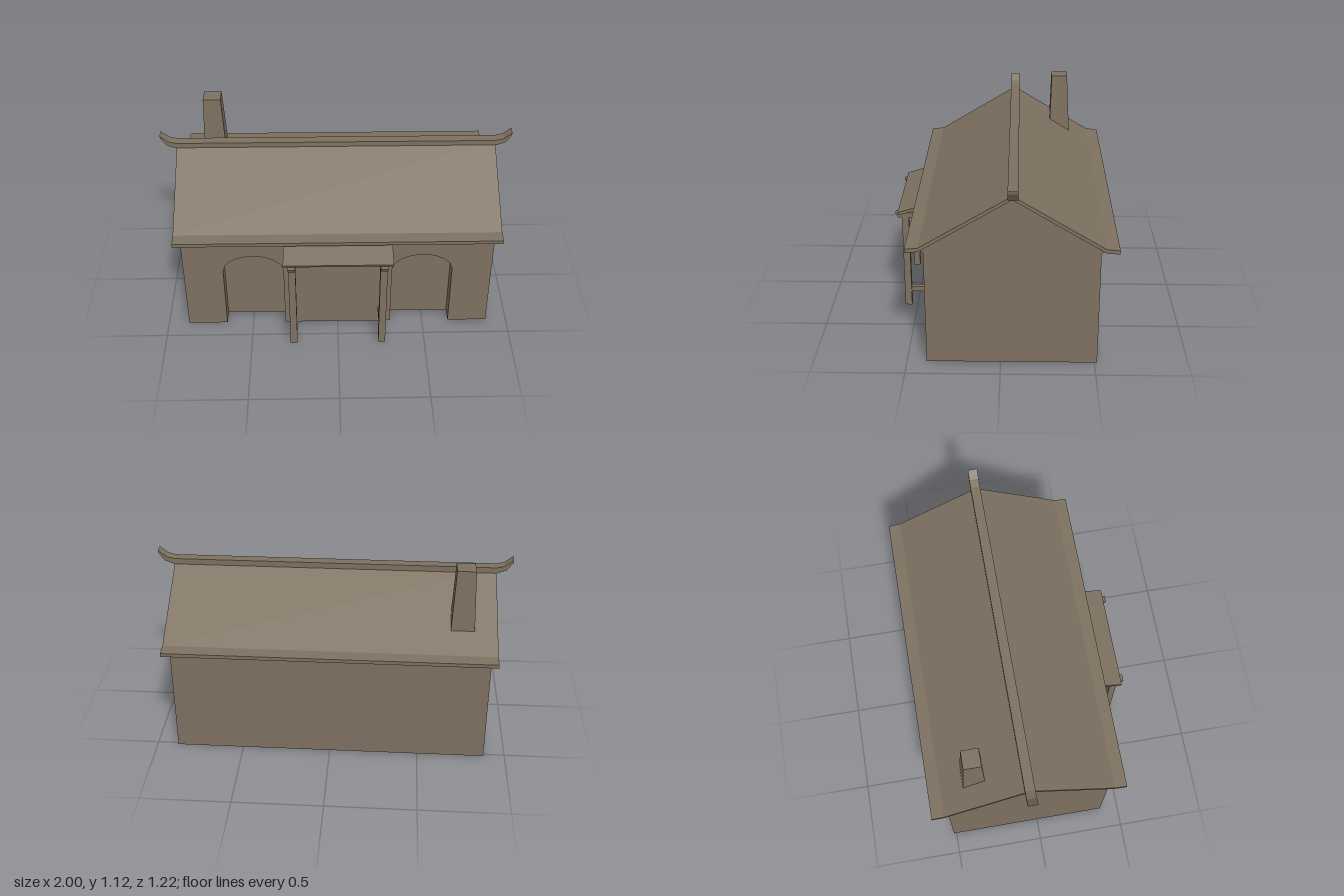
import * as THREE from 'three';

const clay = new THREE.MeshStandardMaterial({ color: 0x7d7060, side: THREE.DoubleSide });
clay.name = 'clay brown';

const W = 0.88, FRONT = 0.395, BACK = -0.515, RIDGE = -0.06;
const toShape = pts => new THREE.Shape(pts.map(p => new THREE.Vector2(...p)));

function add(parent, name, geometry) {
  const mesh = new THREE.Mesh(geometry, clay);
  mesh.name = name;
  parent.add(mesh);
  return mesh;
}

// Solid with a (z, y) outline, running across x and centred on cx
function acrossX(pts, width, cx = 0) {
  return new THREE.ExtrudeGeometry(toShape(pts), { depth: width, bevelEnabled: false })
    .rotateY(-Math.PI / 2).translate(cx + width / 2, 0, 0);
}

// Flat-shaded sheet between two rows of points
function sheet(a, b) {
  const v = [];
  for (let i = 0; i + 1 < a.length; i++) v.push(...a[i], ...b[i], ...b[i + 1], ...a[i], ...b[i + 1], ...a[i + 1]);
  const g = new THREE.BufferGeometry();
  g.setAttribute('position', new THREE.Float32BufferAttribute(v, 3));
  g.computeVertexNormals();
  return g;
}

// Mirror a (z, y) point to the other side of the ridge
const mirrorZ = ([z, y]) => [2 * RIDGE - z, y];

function box(x0, x1, y0, y1, z0, z1) {
  return new THREE.BoxGeometry(x1 - x0, y1 - y0, z1 - z0)
    .translate((x0 + x1) / 2, (y0 + y1) / 2, (z0 + z1) / 2);
}

// Niche outline from the left foot, over the arch, to the right foot
function archPoints(cx) {
  const r = 0.172, spring = 0.4, rise = 0.112, pts = [[cx - r, 0]];
  for (let i = 0; i <= 8; i++) {
    const t = Math.PI * (1 - i / 8);
    pts.push([cx + r * Math.cos(t), spring + rise * Math.sin(t)]);
  }
  pts.push([cx + r, 0]);
  return pts;
}

function createWalls() {
  const walls = new THREE.Group();
  walls.name = 'walls';
  const half = [[FRONT, 0], [FRONT, 0.645], [0.418, 0.664]];
  const gable = [...half, [RIDGE, 0.956], ...half.map(mirrorZ).reverse()];
  for (const s of [-1, 1]) {
    const g = new THREE.ShapeGeometry(toShape(gable)).rotateY(s * Math.PI / 2);
    if (s > 0) g.scale(1, 1, -1), g.index.array.reverse();
    add(walls, s < 0 ? 'rightGableWall' : 'leftGableWall', g.translate(s * W, 0, 0));
  }
  // Back wall, and the slanted soffits under both eaves
  const row = (x, pts) => pts.map(([z, y]) => [x, y, z]);
  const backLine = half.map(mirrorZ);
  add(walls, 'backWall', sheet(row(W, backLine), row(-W, backLine)));
  add(walls, 'frontSoffit', sheet(row(-W, half.slice(1)), row(W, half.slice(1))));

  // Front wall cut by two arched niches
  const arches = [-0.482, 0.482].map(archPoints);
  const outline = [[-W, 0], ...arches[0], ...arches[1], [W, 0], [W, 0.645], [-W, 0.645]];
  add(walls, 'frontWall', new THREE.ShapeGeometry(toShape(outline)).translate(0, 0, FRONT));
  const depth = 0.087;
  arches.forEach(arch => {
    add(walls, 'nicheReveal', sheet(arch.map(([x, y]) => [x, y, FRONT]),
      arch.map(([x, y]) => [x, y, FRONT - depth])));
    add(walls, 'nichePanel', new THREE.ShapeGeometry(toShape(arch)).translate(0, 0, FRONT - depth));
  });
  return walls;
}

function createRoof() {
  const roof = new THREE.Group();
  roof.name = 'roof';
  // Two slopes with flared eaves
  const top = [[0.487, 0.681], [0.418, 0.687]];
  const under = [[0.418, 0.665], [0.487, 0.66]];
  add(roof, 'roofSlopes', acrossX([
    ...top, [RIDGE, 0.976], ...top.map(mirrorZ).reverse(),
    ...under.map(mirrorZ).reverse(), [RIDGE, 0.955], ...under,
  ], 1.82));

  // Ridge beam with upswept ends
  const end = [[0.91, 0.958], [0.965, 0.978], [0.996, 1.022], [1, 1.041], [0.955, 1.003], [0.91, 0.992]];
  const ridge = [...end, ...end.map(([x, y]) => [-x, y]).reverse()];
  add(roof, 'ridgeBeam', new THREE.ExtrudeGeometry(toShape(ridge), { depth: 0.055, bevelEnabled: false })
    .translate(0, 0, RIDGE - 0.031));

  // Tapered chimney
  const y0 = 0.765, y1 = 1.12;
  const chimney = box(-0.785, -0.655, y0, y1, -0.409, -0.284);
  const p = chimney.attributes.position;
  for (let i = 0; i < p.count; i++) {
    if (p.getY(i) < 1) continue;
    p.setX(i, p.getX(i) < -0.72 ? -0.772 : -0.67);
    p.setZ(i, p.getZ(i) < -0.35 ? -0.39 : -0.294);
  }
  chimney.computeVertexNormals();
  add(roof, 'chimney', chimney);
  return roof;
}

function createPorch() {
  const porch = new THREE.Group();
  porch.name = 'porch';
  const inner = FRONT - 0.008;
  for (const cx of [-0.256, 0.252]) {
    const r = 0.02;
    add(porch, 'post', box(cx - r, cx + r, 0, 0.57, 0.533, 0.572));
    add(porch, 'footRail', box(cx - r * 0.8, cx + r * 0.8, 0.088, 0.118, inner, 0.535));
    add(porch, 'topBeam', acrossX([[inner, 0.565], [0.595, 0.565], [0.609, 0.592], [inner, 0.592]], 2 * r, cx));
    add(porch, 'curvedBracket', acrossX([
      [0.49, 0.566], [0.454, 0.566], [0.444, 0.55], [0.422, 0.52], [0.415, 0.487], [inner, 0.454],
      [inner, 0.435], [0.422, 0.454], [0.451, 0.507], [0.48, 0.533],
    ], 2 * r * 0.8, cx));
  }
  // Lean-to roof slab
  add(porch, 'porchRoof', acrossX([[0.585, 0.592], [0.592, 0.608], [0.4, 0.668], [0.394, 0.65]], 0.605));
  return porch;
}

export function createModel() {
  const model = new THREE.Group();
  model.name = 'house';
  model.add(createWalls(), createRoof(), createPorch());
  return model;
}
